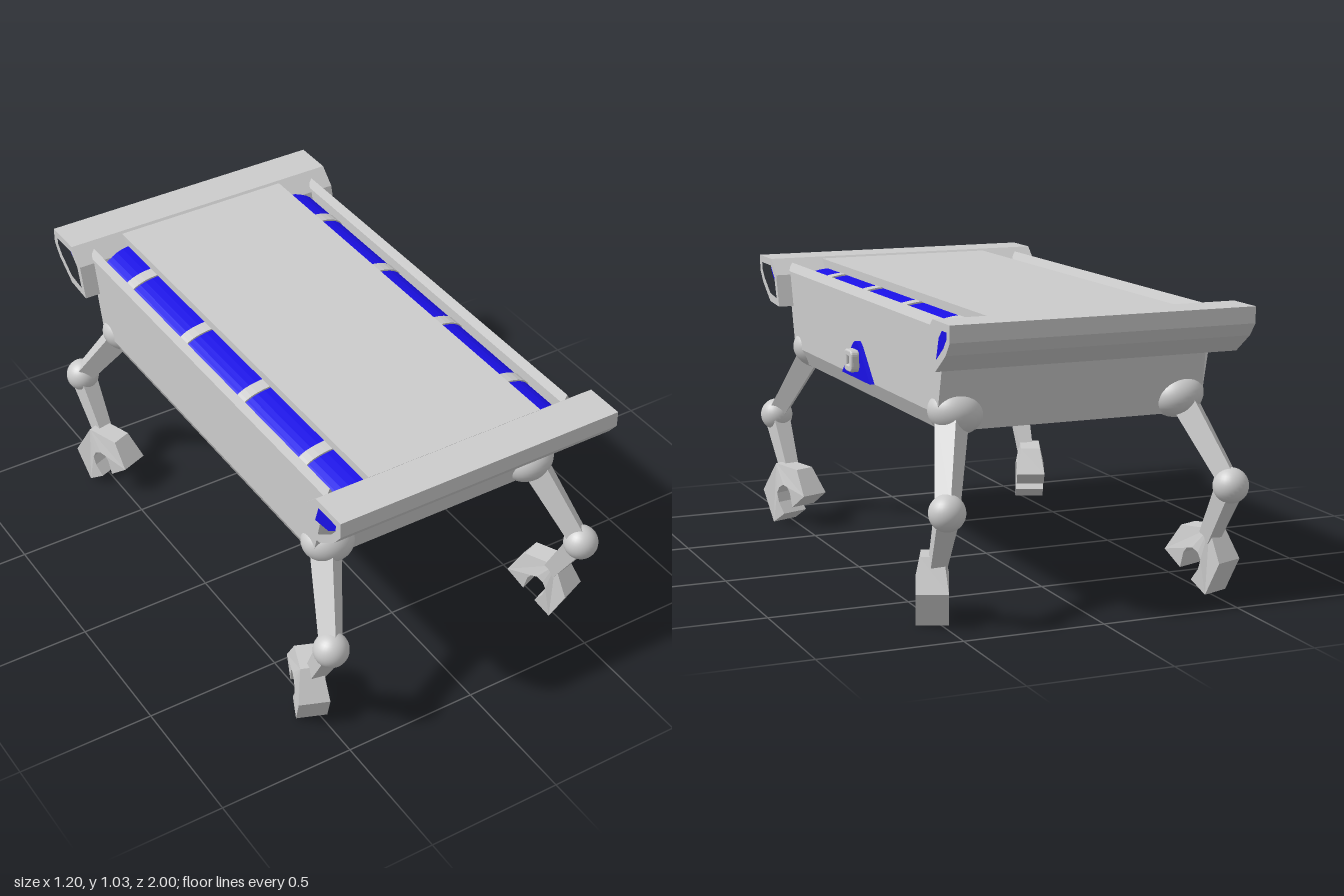
import * as THREE from 'three';
import { mergeVertices } from 'three/addons/utils/BufferGeometryUtils.js';

const grey = new THREE.MeshStandardMaterial({ color: 0xcccccc, flatShading: true });
const thin = new THREE.MeshStandardMaterial({ color: 0xcccccc, flatShading: true, side: THREE.DoubleSide });
const smooth = new THREE.MeshStandardMaterial({ color: 0xcccccc });
const blue = new THREE.MeshStandardMaterial({ color: 0x1a10e6, flatShading: true });
const black = new THREE.MeshStandardMaterial({ color: 0x0a0a0a });

const shapeOf = (pts) => new THREE.Shape(pts.map(([x, y]) => new THREE.Vector2(x, y)));

// Extrusion centred on its depth axis
function slab(shape, depth) {
  const g = new THREE.ExtrudeGeometry(shape, { depth, bevelEnabled: false, curveSegments: 6 });
  return g.translate(0, 0, -depth / 2);
}

// Same, with the shape drawn in (z, y) and extruded along x
const sideSlab = (shape, depth) => slab(shape, depth).rotateY(-Math.PI / 2);

// Mirrored copy that keeps its faces pointing outwards
function mirrored(geometry, sx, sz) {
  const g = geometry.index ? geometry.clone() : mergeVertices(geometry);
  g.scale(sx, 1, sz);
  if (sx * sz < 0) {
    const i = g.index.array;
    for (let k = 0; k < i.length; k += 3) [i[k], i[k + 1]] = [i[k + 1], i[k]];
  }
  return g;
}

// Tapered square bar between two points; ra and rb are half widths
function strut(a, b, ra, rb) {
  const A = new THREE.Vector3(...a), B = new THREE.Vector3(...b);
  const dir = B.clone().sub(A);
  const g = new THREE.CylinderGeometry(rb * Math.SQRT2, ra * Math.SQRT2, dir.length(), 4);
  g.rotateY(Math.PI / 4);
  g.applyQuaternion(new THREE.Quaternion().setFromUnitVectors(new THREE.Vector3(0, 1, 0), dir.normalize()));
  const mid = A.add(B).multiplyScalar(0.5);
  return g.translate(mid.x, mid.y, mid.z);
}

function roundedRect(Type, h, r) {
  const s = new Type();
  s.moveTo(-h + r, -h);
  s.lineTo(h - r, -h);
  s.quadraticCurveTo(h, -h, h, -h + r);
  s.lineTo(h, h - r);
  s.quadraticCurveTo(h, h, h - r, h);
  s.lineTo(-h + r, h);
  s.quadraticCurveTo(-h, h, -h, h - r);
  s.lineTo(-h, -h + r);
  s.quadraticCurveTo(-h, -h, -h + r, -h);
  return s;
}

export function createModel() {
  const root = new THREE.Group();
  const add = (name, geometry, material, parent = root) => {
    const m = new THREE.Mesh(geometry, material);
    m.name = name;
    parent.add(m);
    return m;
  };

  // Hull: cross-section with ridged side walls, ends leaning outwards with height
  const half = [[0.455, 0.637], [0.487, 0.7], [0.487, 0.987], [0.471, 1.018], [0.455, 0.987], [0.455, 0.93], [0.34, 0.93]];
  const hull = slab(shapeOf([...half, ...half.map(([x, y]) => [-x, y]).reverse()]), 2);
  const hp = hull.attributes.position;
  for (let i = 0; i < hp.count; i++) {
    const y = hp.getY(i);
    hp.setZ(i, hp.getZ(i) * (0.73 + 0.09 * Math.min(1, (y - 0.637) / 0.35)));
  }
  add('hull', hull, grey);
  add('deckPlate', new THREE.BoxGeometry(0.68, 0.03, 1.69).translate(0, 1.01, 0), grey);
  add('deckCore', new THREE.BoxGeometry(0.66, 0.08, 1.62).translate(0, 0.96, 0), grey);

  // Rounded light strips beside the deck, with ribs across them
  const stripShape = (lift) => {
    const s = new THREE.Shape();
    s.moveTo(0.33, 0.92);
    s.lineTo(0.455, 0.92);
    s.lineTo(0.455, 0.945 + lift);
    s.quadraticCurveTo(0.43, 0.985 + lift, 0.33, 0.99 + lift);
    return s;
  };
  for (const sx of [1, -1]) {
    add('lightStrip', mirrored(slab(stripShape(0), 1.62), sx, 1), blue);
    for (const z of [-0.6, -0.2, 0.2, 0.6]) {
      add('stripRib', mirrored(slab(stripShape(0.006), 0.05).translate(0, 0, z), sx, 1), grey);
    }
  }

  // Hollow end bars with blue cores
  const outer = [[1, 1.032], [1, 0.975], [0.965, 0.93], [0.875, 0.865], [0.762, 0.857], [0.793, 0.975], [0.853, 1.032]];
  const inner = [[0.973, 1.006], [0.972, 0.982], [0.945, 0.95], [0.872, 0.897], [0.793, 0.886], [0.818, 0.965], [0.862, 1.006]];
  const barShape = shapeOf(outer);
  barShape.holes.push(new THREE.Path(inner.map(([x, y]) => new THREE.Vector2(x, y))));
  for (const turn of [0, Math.PI]) {
    add('endBar', sideSlab(barShape, 1.09).rotateY(turn), grey);
    add('endBarCore', sideSlab(shapeOf(inner), 1.02).rotateY(turn), blue);
  }

  // Open hatch collar under the belly
  const collar = new THREE.LatheGeometry(
    [[0.09, 0.64], [0.13, 0.522], [0.16, 0.522], [0.123, 0.64]].map(([r, y]) => new THREE.Vector2(r * Math.SQRT2, y)),
    4, Math.PI / 4);
  add('bellyCollar', collar.scale(1, 1, 0.93), thin);

  // Badge with a small lens on the left side
  const badge = new THREE.Shape();
  badge.moveTo(-0.148, 0.7);
  badge.lineTo(0.148, 0.7);
  badge.lineTo(0.035, 0.815);
  badge.quadraticCurveTo(0, 0.85, -0.035, 0.815);
  add('badge', sideSlab(badge, 0.03).translate(0.489, 0, 0), blue);
  const frame = roundedRect(THREE.Shape, 0.034, 0.016);
  frame.holes.push(roundedRect(THREE.Path, 0.02, 0.004));
  const ring = new THREE.ExtrudeGeometry(frame, { depth: 0.018, bevelSize: 0.006, bevelThickness: 0.008, bevelSegments: 3, curveSegments: 5 });
  add('lensFrame', ring.rotateY(Math.PI / 2).translate(0.509, 0.765, 0), grey);
  add('lens', new THREE.BoxGeometry(0.02, 0.042, 0.042).translate(0.51, 0.765, 0), black);

  // Leg parts, made once for the front left corner
  const hip = new THREE.SphereGeometry(1, 32, 20).scale(0.095, 0.076, 0.083).rotateZ(0.25).translate(0.41, 0.697, 0.71);
  const knee = new THREE.SphereGeometry(0.062, 28, 18).translate(0.518, 0.408, 0.906);
  const thigh = strut([0.42, 0.7, 0.71], [0.518, 0.408, 0.906], 0.042, 0.03);
  const shin = strut([0.518, 0.408, 0.906], [0.505, 0.2, 0.785], 0.036, 0.027);

  // Two-fingered foot, drawn in (z, y) around z = 0.74, narrower at the palm
  const claw = [[0.868, 0.126], [0.804, 0.005], [0.735, 0.048], [0.768, 0.09], [0.779, 0.125], [0.765, 0.15],
    [0.738, 0.163], [0.712, 0.157], [0.697, 0.138], [0.682, 0.082], [0.606, 0.136], [0.67, 0.23], [0.804, 0.238]];
  const foot = sideSlab(shapeOf(claw.map(([z, y]) => [(z - 0.74) * 0.94, y])), 0.11);
  const fp = foot.attributes.position;
  for (let i = 0; i < fp.count; i++) if (fp.getY(i) > 0.2) fp.setX(i, fp.getX(i) * 0.7);
  foot.rotateY(0.38).translate(0.505, 0, 0.74);
  foot.computeVertexNormals();

  // Four mirrored legs
  for (const sx of [1, -1]) for (const sz of [1, -1]) {
    const leg = new THREE.Group();
    leg.name = (sz > 0 ? 'front' : 'back') + (sx > 0 ? 'Left' : 'Right') + 'Leg';
    add('hip', mirrored(hip, sx, sz), smooth, leg);
    add('thigh', mirrored(thigh, sx, sz), grey, leg);
    add('knee', mirrored(knee, sx, sz), smooth, leg);
    add('shin', mirrored(shin, sx, sz), grey, leg);
    add('foot', mirrored(foot, sx, sz), grey, leg);
    root.add(leg);
  }
  return root;
}
